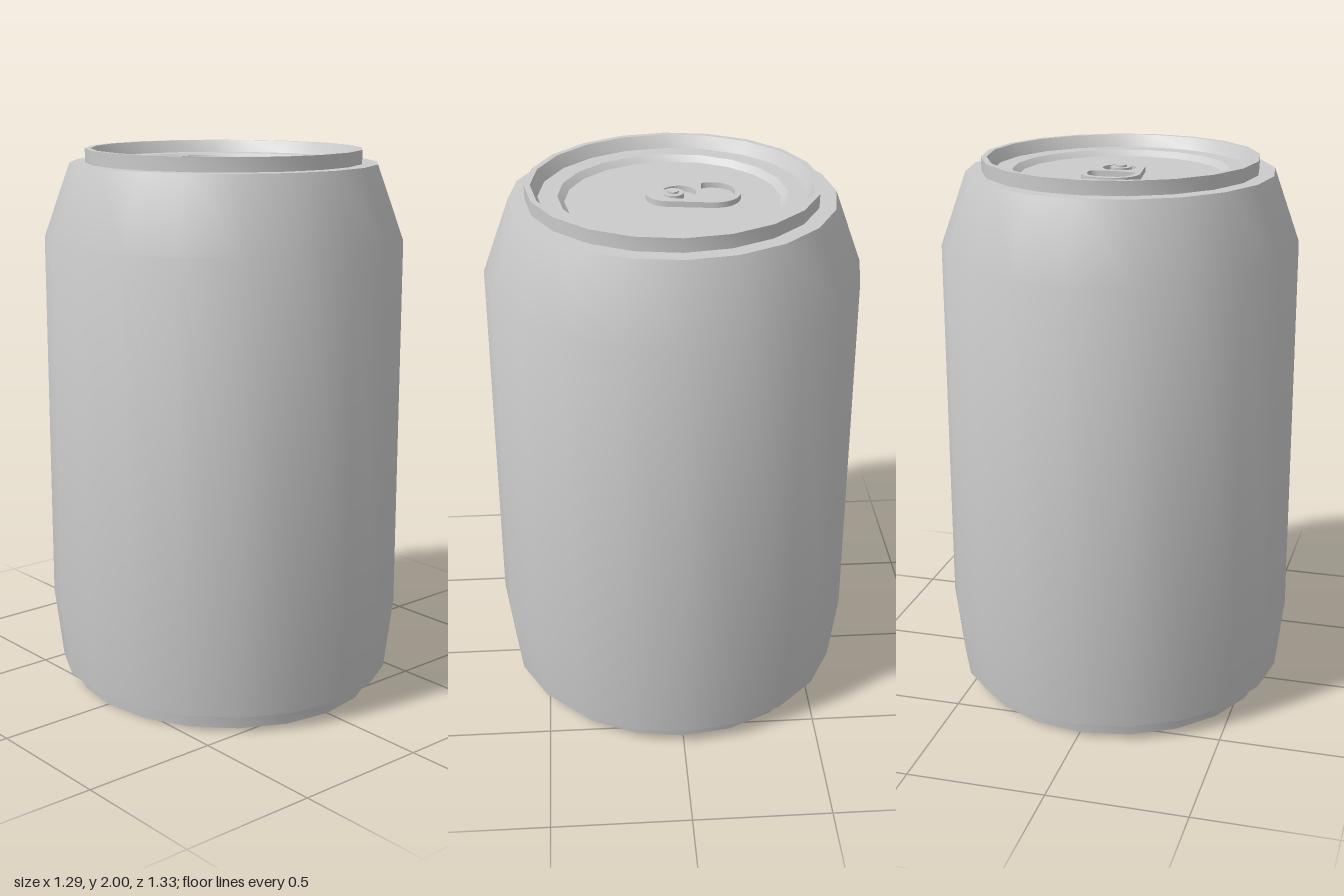
import * as THREE from 'three';
import { toCreasedNormals } from 'three/addons/utils/BufferGeometryUtils.js';

const SIDES = 20;
const X_SCALE = 0.968; // the can is very slightly oval

export function createModel() {
  const model = new THREE.Group();
  model.name = 'drinkCan';
  const metal = new THREE.MeshStandardMaterial({ color: 0xcccccc });

  const add = (name, geometry) => {
    const mesh = new THREE.Mesh(geometry, metal);
    mesh.name = name;
    model.add(mesh);
    return mesh;
  };

  // Turned part from [radius, height] pairs
  const turned = (name, profile) => {
    const points = profile.map(([r, y]) => new THREE.Vector2(r, y));
    const geometry = new THREE.LatheGeometry(points, SIDES);
    geometry.scale(X_SCALE, 1, 1);
    return add(name, toCreasedNormals(geometry, 0.6));
  };

  // Foot ring with recessed bottom
  turned('base', [[0, 0.055], [0.45, 0.055], [0.45, 0], [0.577, 0], [0.587, 0.065]]);

  // Side wall with tapered foot and shoulder
  turned('body', [
    [0.587, 0.065], [0.632, 0.065], [0.665, 0.33], [0.665, 1.685], [0.568, 1.95], [0.51, 1.95],
  ]);

  // Upright rim
  turned('rim', [[0.51, 1.95], [0.511, 2], [0.49, 2], [0.466, 1.956]]);

  // Lid with sunken centre panel
  turned('lid', [[0.466, 1.956], [0.398, 1.956], [0.375, 1.935], [0, 1.935]]);

  // Pull tab outline (shape +y points to the back)
  const tab = new THREE.Shape();
  tab.moveTo(0, -0.095);
  tab.bezierCurveTo(0.05, -0.095, 0.078, -0.06, 0.083, -0.02);
  tab.lineTo(0.103, 0.125);
  tab.bezierCurveTo(0.111, 0.19, 0.065, 0.235, 0, 0.235);
  tab.bezierCurveTo(-0.065, 0.235, -0.111, 0.19, -0.103, 0.125);
  tab.lineTo(-0.083, -0.02);
  tab.bezierCurveTo(-0.078, -0.06, -0.05, -0.095, 0, -0.095);

  // Finger opening
  const finger = new THREE.Path();
  finger.moveTo(-0.07, 0.102);
  finger.quadraticCurveTo(0, 0.094, 0.07, 0.102);
  finger.quadraticCurveTo(0.084, 0.104, 0.084, 0.13);
  finger.bezierCurveTo(0.084, 0.185, 0.05, 0.214, 0, 0.214);
  finger.bezierCurveTo(-0.05, 0.214, -0.084, 0.185, -0.084, 0.13);
  finger.quadraticCurveTo(-0.084, 0.104, -0.07, 0.102);

  // Crescent slot around the rivet tongue
  const slot = new THREE.Path();
  const deg = Math.PI / 180;
  slot.absarc(0, 0.02, 0.06, -60 * deg, 240 * deg, false);
  slot.absarc(0, 0, 0.038, 232 * deg, -52 * deg, true);
  slot.closePath();
  tab.holes.push(finger, slot);

  const tabGeometry = new THREE.ExtrudeGeometry(tab, {
    depth: 0.02, bevelEnabled: false, curveSegments: 10,
  });
  tabGeometry.rotateX(-Math.PI / 2);
  add('pullTab', toCreasedNormals(tabGeometry, 0.6)).position.y = 1.94;

  // Rivet holding the tab
  const rivet = new THREE.CylinderGeometry(0.02, 0.02, 0.034, 16);
  add('rivet', rivet).position.y = 1.95;

  return model;
}
